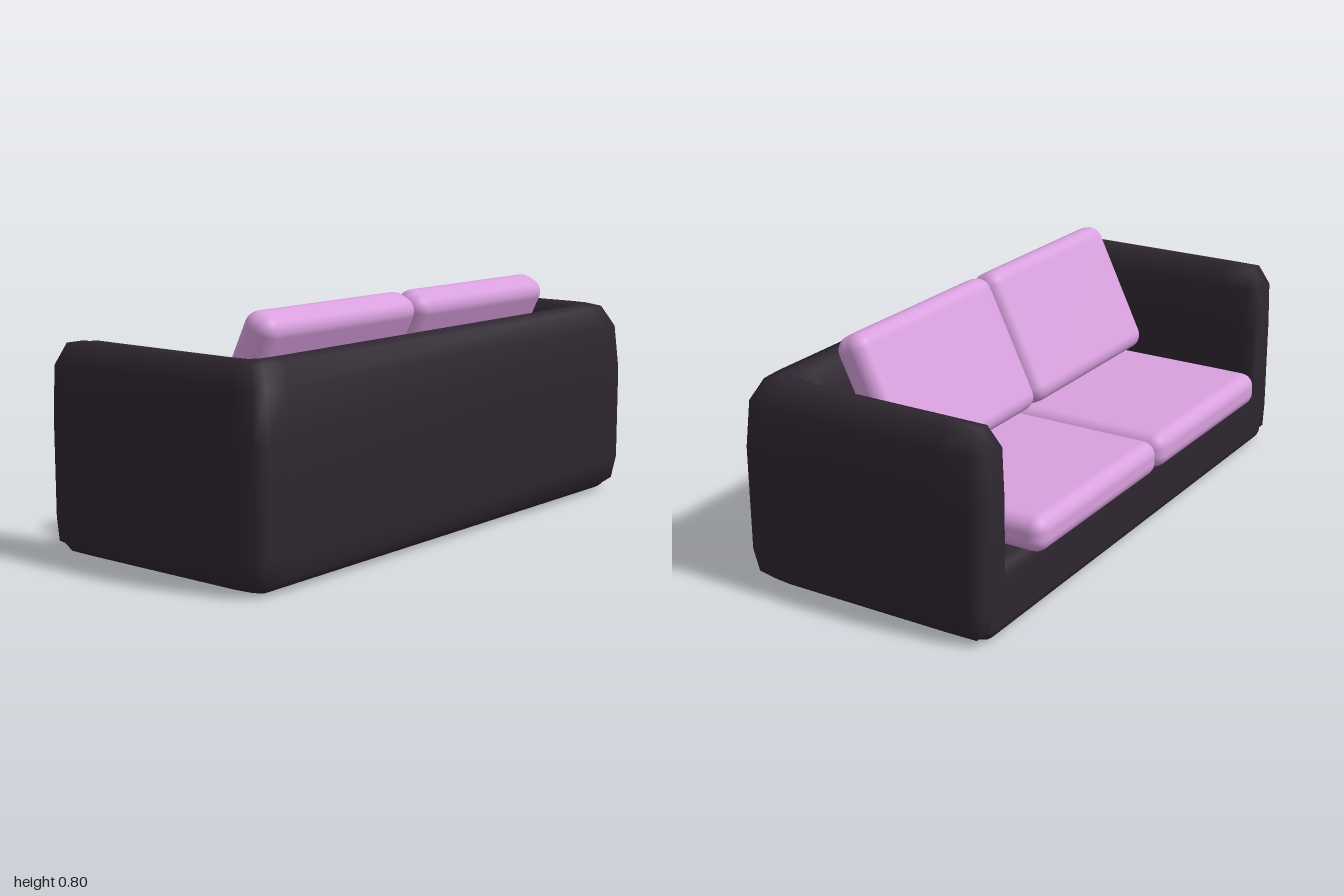
import * as THREE from 'three';
import { RoundedBoxGeometry } from 'three/addons/geometries/RoundedBoxGeometry.js';

const dark = new THREE.MeshStandardMaterial({ color: 0x2e2630 });
const pink = new THREE.MeshStandardMaterial({ color: 0xd9a0df });

// Wall cross-section: [across (0 inner, 1 outer), height]
const SECTION = [
  [1, 0.12], [1, 0.45], [0.93, 0.605], [0.73, 0.675], [0.5, 0.687],
  [0.27, 0.675], [0.07, 0.605], [0, 0.45], [0, 0.12], [0, 0],
  [0.5, 0], [0.73, 0.008], [0.93, 0.04],
];

// Stations from the arm's end to the back: [inner x, inner z, outer x, outer z, lowest y, highest y]
const HALF = [
  [-0.42, 0.865, -0.42, 0.955, 0.12, 0.45],
  [-0.41, 0.85, -0.41, 0.985, 0.04, 0.605],
  [-0.375, 0.843, -0.375, 0.995, 0.008, 0.675],
  [-0.27, 0.84, -0.27, 1, 0, 0.687],
  [0.2, 0.84, 0.38, 1, 0, 0.687],
  [0.262, 0.832, 0.44, 0.993, 0, 0.687],
  [0.273, 0.815, 0.468, 0.962, 0, 0.687],
  [0.28, 0.75, 0.475, 0.88, 0, 0.687],
];

// U-shaped wall swept along one arm, the back and the other arm
function wallGeometry() {
  const mirrored = HALF.map(([a, b, c, d, lo, hi]) => [a, -b, c, -d, lo, hi]).reverse();
  const stations = [...HALF, ...mirrored];
  const n = SECTION.length;
  const pos = [];
  const index = [];
  for (const [ix, iz, ox, oz, lo, hi] of stations) {
    for (const [t, y] of SECTION) {
      pos.push(ix + (ox - ix) * t, THREE.MathUtils.clamp(y, lo, hi), iz + (oz - iz) * t);
    }
  }
  for (let i = 0; i < stations.length - 1; i++) {
    for (let j = 0; j < n; j++) {
      const k = (j + 1) % n;
      const a = i * n + j, b = a + n, c = (i + 1) * n + k, d = i * n + k;
      index.push(a, b, c, a, c, d);
    }
  }
  // Flat ends of the arms
  const last = (stations.length - 1) * n;
  for (let j = 1; j < n - 1; j++) {
    index.push(0, j, j + 1, last, last + j + 1, last + j);
  }
  const geo = new THREE.BufferGeometry();
  geo.setAttribute('position', new THREE.Float32BufferAttribute(pos, 3));
  geo.setIndex(index);
  geo.computeVertexNormals();
  return geo;
}

function roundedBox(name, material, size, radius, position, tilt = 0) {
  const mesh = new THREE.Mesh(new RoundedBoxGeometry(...size, 3, radius), material);
  mesh.name = name;
  mesh.position.set(...position);
  mesh.rotation.z = tilt;
  return mesh;
}

export function createModel() {
  const sofa = new THREE.Group();
  sofa.name = 'sofa';

  // Arms and back
  const walls = new THREE.Mesh(wallGeometry(), dark);
  walls.name = 'armsAndBack';
  sofa.add(walls);

  // Base under the seat
  sofa.add(roundedBox('base', dark, [0.86, 0.23, 1.92], 0.045, [0.01, 0.115, 0]));

  // Two seat cushions, each with a leaning back cushion
  for (const side of [-1, 1]) {
    const name = side > 0 ? 'left' : 'right';
    const z = side * 0.377 - 0.005;
    sofa.add(roundedBox(name + 'SeatCushion', pink, [0.74, 0.12, 0.75], 0.048, [-0.11, 0.28, z]));
    sofa.add(roundedBox(name + 'BackCushion', pink, [0.125, 0.48, 0.75], 0.05,
      [0.134, 0.57, z], -THREE.MathUtils.degToRad(26)));
  }
  return sofa;
}
